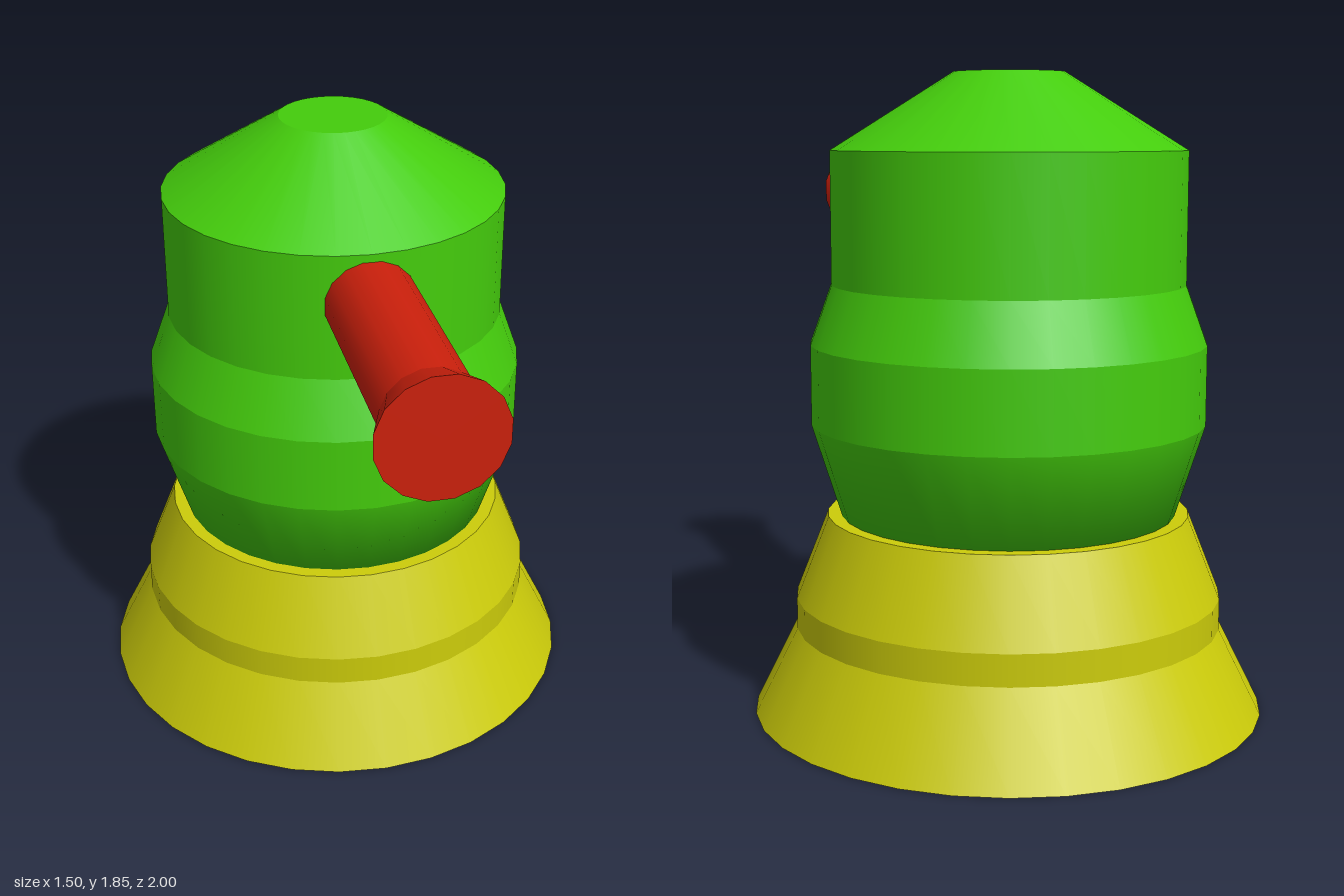
import * as THREE from 'three';

// Surface of revolution; each band is a separate smooth strip so the edges between bands stay sharp
function turned(name, bands, segments, color, side = THREE.FrontSide, phase = 0) {
  const group = new THREE.Group();
  group.name = name;
  const material = new THREE.MeshStandardMaterial({ color, side });
  bands.forEach((band, i) => {
    const points = band.map(([r, y]) => new THREE.Vector2(r, y));
    const mesh = new THREE.Mesh(new THREE.LatheGeometry(points, segments, phase), material);
    mesh.name = `${name}Band${i + 1}`;
    group.add(mesh);
  });
  return group;
}

// Splits a profile into one band per pair of neighbouring points
const split = (profile) => profile.slice(1).map((p, i) => [profile[i], p]);

export function createModel() {
  const model = new THREE.Group();
  const yellow = 0xcccc0a, green = 0x44cc0c, red = 0xcc200c;

  // Hollow flared base, open underneath and closed on top
  const base = turned('base', split([
    [0.75, 0], [0.625, 0.25], [0.625, 0.34], [0.53, 0.58], [0, 0.58],
  ]), 32, yellow, THREE.DoubleSide);

  // Turret body: rounded underside, then stepped bands and a truncated cone roof
  const body = turned('turretBody', [
    [[0, 0.58], [0.49, 0.58], [0.575, 0.85]],
    ...split([
      [0.575, 0.85], [0.575, 1.08], [0.513, 1.25], [0.513, 1.63], [0.16, 1.85], [0, 1.85],
    ]),
  ], 32, green);

  // Barrel with flared, closed muzzle, pointing forward
  const barrel = turned('barrel', split([
    [0, 0], [0.132, 0], [0.132, 0.68], [0.175, 0.8], [0, 0.8],
  ]), 16, red, THREE.FrontSide, Math.PI / 16);
  barrel.rotation.x = Math.PI / 2;
  barrel.position.set(0, 1.477, 0.45);

  const turret = new THREE.Group();
  turret.name = 'turret';
  turret.add(body, barrel);
  model.add(base, turret);
  model.position.z = -0.25;

  const root = new THREE.Group();
  root.name = 'cannonTurret';
  root.add(model);
  return root;
}
